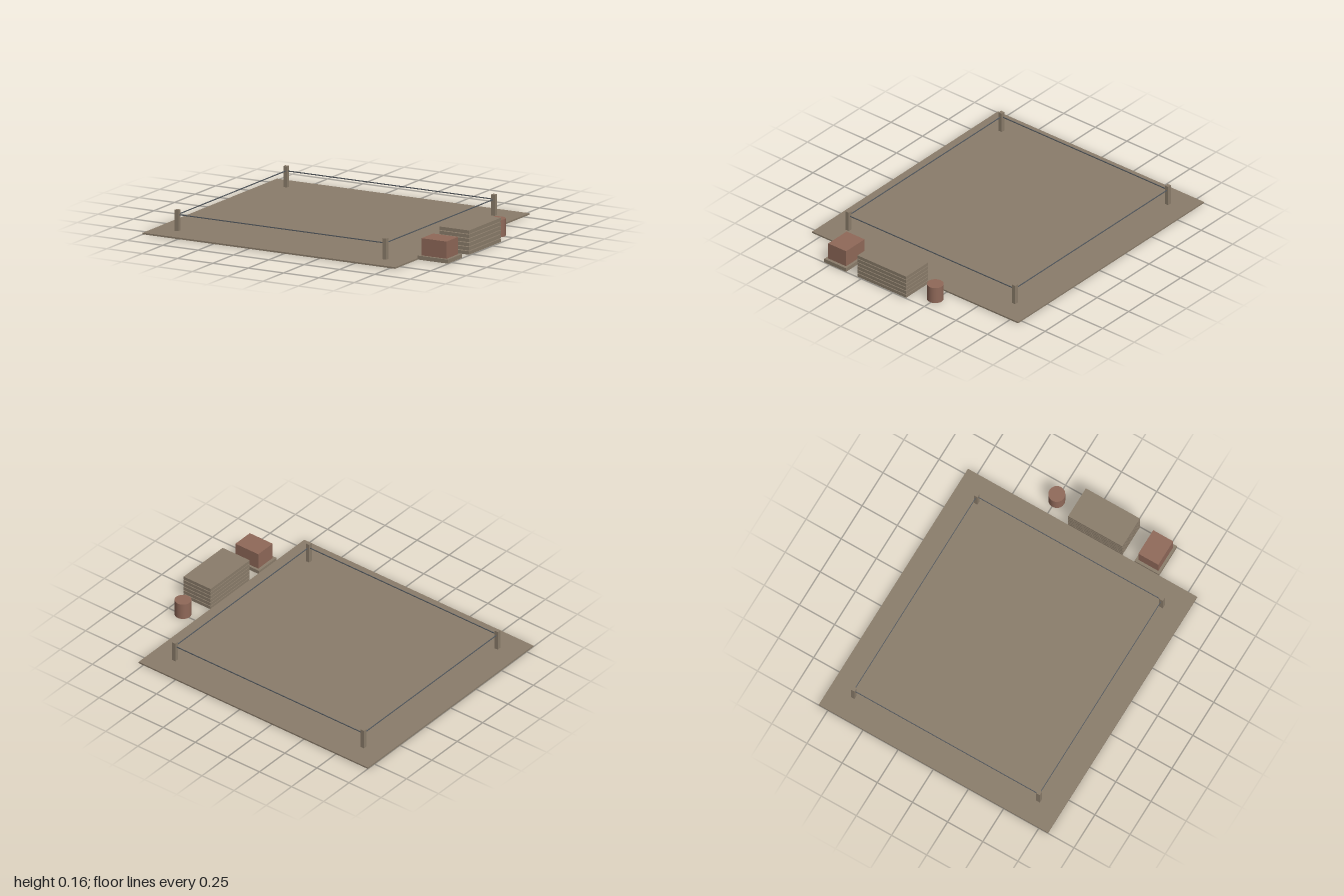
import * as THREE from 'three';

const mat = (name, color) => {
  const m = new THREE.MeshStandardMaterial({ color });
  m.name = name;
  return m;
};

export function createModel() {
  const site = new THREE.Group();
  site.name = 'buildingSite';
  const timber = mat('timber', 0x8b7d6b);
  const clay = mat('clay', 0x906959);
  const cord = mat('cord', 0x565b60);

  // Box given by its minimum and maximum corners
  const box = (name, material, [x0, y0, z0], [x1, y1, z1], parent = site) => {
    const mesh = new THREE.Mesh(new THREE.BoxGeometry(x1 - x0, y1 - y0, z1 - z0), material);
    mesh.position.set((x0 + x1) / 2, (y0 + y1) / 2, (z0 + z1) / 2);
    mesh.name = name;
    parent.add(mesh);
  };

  // Flat plot of ground
  box('groundPlate', timber, [-1, 0, -0.815], [0.785, 0.01, 0.815]);

  // Corner stakes joined by a taut line
  const fence = new THREE.Group();
  fence.name = 'stringFence';
  site.add(fence);
  const xs = [-0.844, 0.626], zs = [-0.659, 0.659], r = 0.013, c = 0.002;
  for (const x of xs) {
    for (const z of zs) box('stake', timber, [x - r, 0.005, z - r], [x + r, 0.142, z + r], fence);
    box('sideLine', cord, [x - c, 0.108, zs[0]], [x + c, 0.114, zs[1]], fence);
  }
  for (const z of zs) box('crossLine', cord, [xs[0], 0.108, z - c], [xs[1], 0.114, z + c], fence);

  // Stack of boards with narrow gaps
  const stack = new THREE.Group();
  stack.name = 'boardStack';
  site.add(stack);
  const pitch = 0.0262, board = 0.0215;
  for (let i = 0; i < 6; i++) {
    const y = 0.003 + i * pitch;
    box('boardLayer', timber, [0.787, y, -0.104], [0.998, y + board, 0.281], stack);
  }

  // Pallet carrying a block of bricks
  box('pallet', timber, [0.785, 0.002, 0.369], [1, 0.027, 0.543]);
  box('brickBlock', clay, [0.803, 0.027, 0.385], [0.981, 0.135, 0.527]);

  // Upright drum
  const drum = new THREE.Mesh(new THREE.CylinderGeometry(0.052, 0.052, 0.108, 24), clay);
  drum.position.set(0.89, 0.056, -0.246);
  drum.name = 'drum';
  site.add(drum);

  return site;
}
